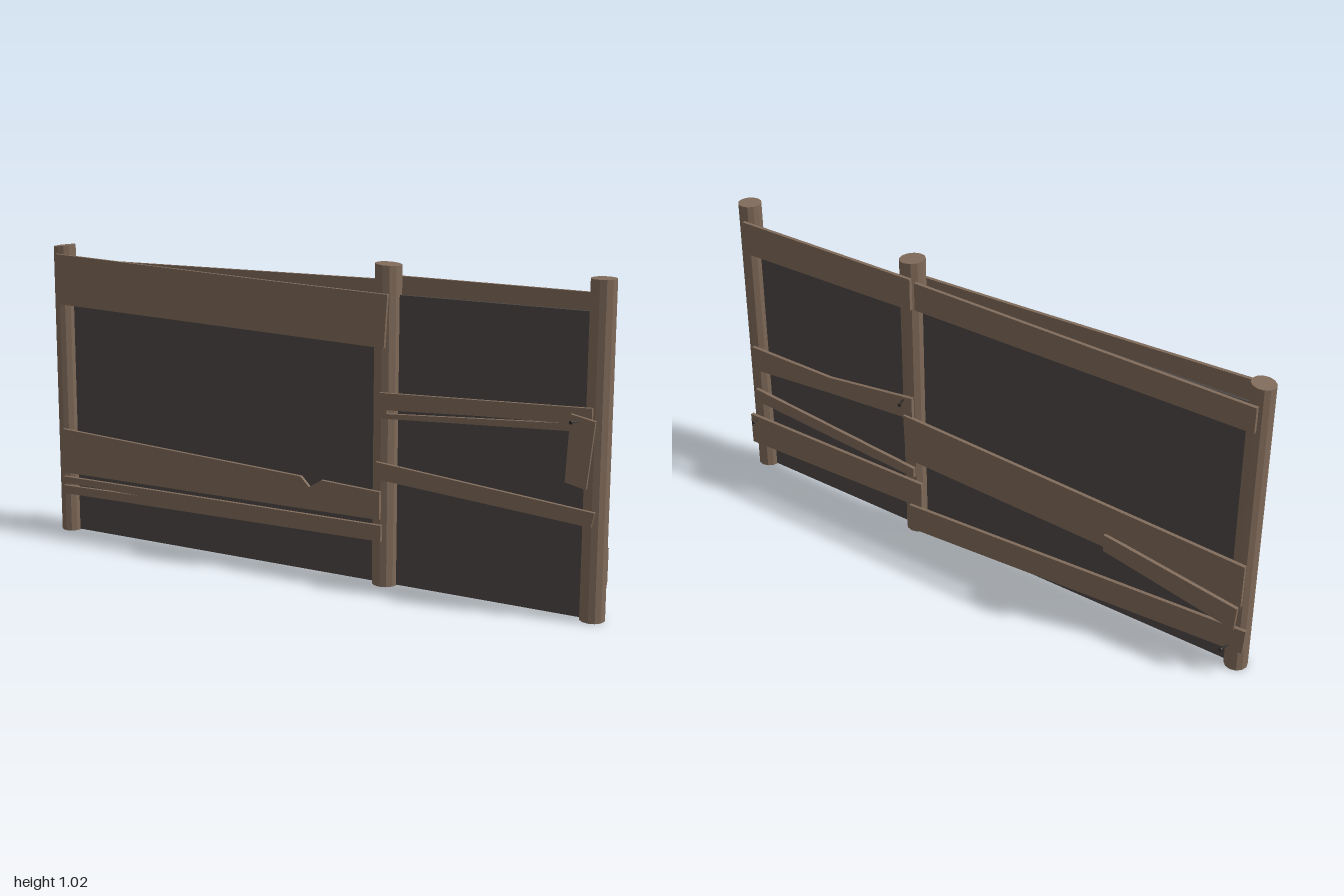
import * as THREE from 'three';

const wood = new THREE.MeshStandardMaterial({ color: 0x806b5a });
wood.name = 'weatheredWood';
const sheet = new THREE.MeshStandardMaterial({ color: 0x4c4745 });
sheet.name = 'darkSheet';
const iron = new THREE.MeshStandardMaterial({ color: 0x2e2926 });
iron.name = 'darkIron';
wood.flatShading = true;

const T = 0.012; // plank thickness

// Board cut from an outline; its middle plane runs from z0 at xa to z1 at xb
function plank(name, outline, z0, z1, cracks = []) {
  const shape = new THREE.Shape(outline.map(([x, y]) => new THREE.Vector2(x, y)));
  for (const c of cracks) shape.holes.push(new THREE.Path(c.map(([x, y]) => new THREE.Vector2(x, y))));
  const geo = new THREE.ExtrudeGeometry(shape, { depth: T, bevelEnabled: false });
  const xs = outline.map((p) => p[0]);
  const xa = Math.min(...xs), xb = Math.max(...xs);
  const pos = geo.attributes.position;
  for (let i = 0; i < pos.count; i++) {
    const t = (pos.getX(i) - xa) / (xb - xa);
    pos.setZ(i, pos.getZ(i) - T / 2 + z0 + (z1 - z0) * t);
  }
  geo.computeVertexNormals();
  const mesh = new THREE.Mesh(geo, wood);
  mesh.name = name;
  return mesh;
}

// Round post, leaning slightly, with a sloping sawn top
function post(name, xBottom, xTop, height, radius, slope) {
  const geo = new THREE.CylinderGeometry(radius, radius, height, 12);
  geo.translate(0, height / 2, 0);
  const pos = geo.attributes.position;
  for (let i = 0; i < pos.count; i++) {
    const x = pos.getX(i), y = pos.getY(i);
    if (y > height / 2) pos.setXYZ(i, x + xTop, y + x * slope, pos.getZ(i));
    else pos.setX(i, x + xBottom);
  }
  geo.computeVertexNormals();
  const mesh = new THREE.Mesh(geo, wood);
  mesh.name = name;
  return mesh;
}

// Bent nail with a flat head, sticking out along z
function nail(x, y, z, dir, lean) {
  const g = new THREE.Group();
  g.name = 'nail';
  const shank = new THREE.Mesh(new THREE.CylinderGeometry(0.003, 0.003, 0.045, 6), iron);
  shank.name = 'nailShank';
  const head = new THREE.Mesh(new THREE.CylinderGeometry(0.006, 0.006, 0.004, 8), iron);
  head.name = 'nailHead';
  head.position.y = 0.022;
  g.add(shank, head);
  g.position.set(x, y, z);
  g.rotation.set((dir * Math.PI) / 2, 0, lean);
  return g;
}

export function createModel() {
  const model = new THREE.Group();
  model.name = 'fenceSection';

  // Posts
  model.add(
    post('rightPost', -0.947, -0.94, 1.0, 0.037, 0.1),
    post('middlePost', 0.275, 0.275, 1.02, 0.042, -0.06),
    post('leftPost', 0.96, 0.953, 1.025, 0.039, 0)
  );

  // Backing sheet between the posts
  const panel = new THREE.Mesh(new THREE.BoxGeometry(1.9, 0.925, 0.01), sheet);
  panel.name = 'backingSheet';
  panel.position.set(0.005, 0.465, 0);
  model.add(panel);

  // Front planks
  model.add(
    plank('frontTopPlank',
      [[-0.93, 0.805], [0.29, 0.77], [0.3, 0.935], [-0.12, 0.947], [-0.945, 0.975]], 0.043, 0.054),
    plank('frontLowWidePlank',
      [[-0.95, 0.215], [0.28, 0.225], [0.28, 0.315], [0.075, 0.325], [0.03, 0.297], [0, 0.328], [-0.94, 0.37]],
      0.043, 0.053),
    plank('frontLowNarrowPlank',
      [[-0.94, 0.14], [0.285, 0.155], [0.285, 0.207], [-0.945, 0.2], [-0.945, 0.178], [-0.62, 0.175], [-0.945, 0.168]],
      0.043, 0.053),
    plank('frontUpperRail',
      [[0.285, 0.55], [0.95, 0.585], [0.95, 0.655], [0.275, 0.63]], 0.051, 0.045,
      [[[0.3, 0.566], [0.87, 0.603], [0.6, 0.594], [0.3, 0.578]]]),
    plank('frontLowerRail', [[0.27, 0.355], [0.96, 0.3], [0.97, 0.345], [0.265, 0.41]], 0.051, 0.045),
    plank('danglingBoard', [[0.88, 0.43], [0.945, 0.415], [0.965, 0.62], [0.89, 0.635]], 0.057, 0.057)
  );

  // Back planks, wide bay
  model.add(
    plank('backTopPlank', [[-0.95, 0.865], [0.235, 0.87], [0.235, 0.965], [-0.95, 0.948]], -0.046, -0.04),
    plank('backWidePlank',
      [[-0.97, 0.265], [0.275, 0.31], [0.28, 0.475], [-0.97, 0.415]], -0.055, -0.058),
    plank('backSplitBoard', [[-0.965, 0.195], [-0.5, 0.275], [-0.5, 0.335], [-0.97, 0.275]], -0.078, -0.066),
    plank('backBottomPlank', [[-0.99, 0.1], [0.26, 0.035], [0.26, 0.13], [-0.995, 0.185]], -0.055, -0.065)
  );

  // Back planks, narrow bay
  model.add(
    plank('backTopShortPlank', [[0.245, 0.87], [0.945, 0.862], [0.945, 0.975], [0.245, 0.978]], -0.05, -0.045),
    plank('backUpperRail',
      [[0.25, 0.465], [0.6, 0.44], [0.95, 0.41], [0.95, 0.5], [0.6, 0.5], [0.25, 0.545]], -0.05, -0.046),
    plank('backThinRail', [[0.25, 0.237], [0.95, 0.282], [0.95, 0.33], [0.25, 0.272]], -0.05, -0.046),
    plank('backLowRail', [[0.215, 0.13], [0.985, 0.098], [0.985, 0.213], [0.215, 0.225]], -0.055, -0.046)
  );

  // Loose nails
  model.add(
    nail(0.91, 0.617, 0.07, 1, 0.4),
    nail(0.28, 0.53, -0.068, -1, 0.3),
    nail(-0.94, 0.11, -0.07, -1, -0.3),
    nail(0.955, 0.2, -0.052, -1, 0)
  );
  return model;
}
